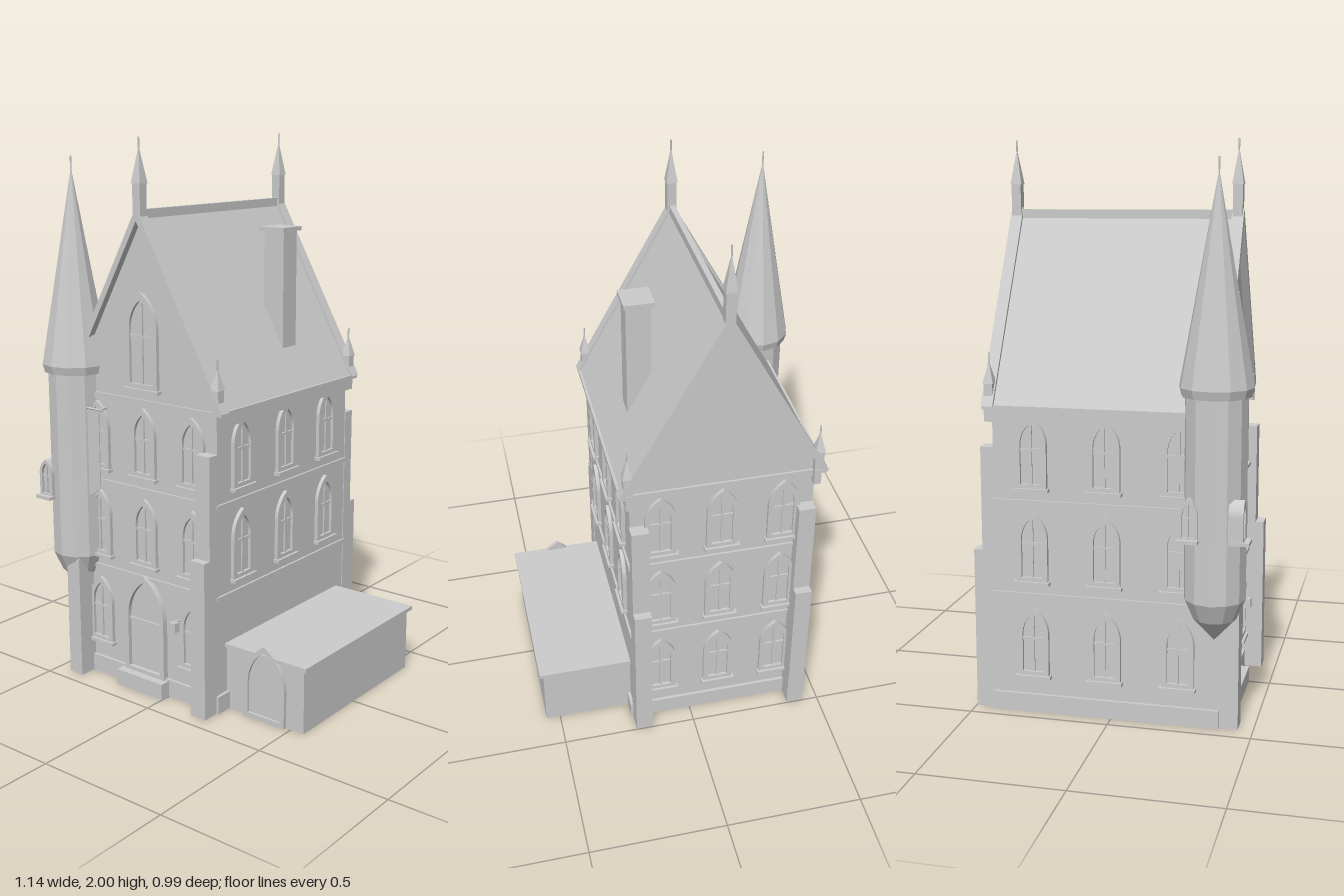
import * as THREE from 'three';

const grey = new THREE.MeshStandardMaterial({ color: 0xcccccc, flatShading: true });
const greyOpen = new THREE.MeshStandardMaterial({ color: 0xcccccc, flatShading: true, side: THREE.DoubleSide });
const CX = -0.11, CZ = -0.025;      // centre of the main block
const HW = 0.33, HD = 0.395;        // half width and half depth
const SLOPE = 1.795;                // roof pitch

function add(parent, name, geometry, x = 0, y = 0, z = 0) {
  const mesh = new THREE.Mesh(geometry, grey);
  mesh.name = name;
  mesh.position.set(x, y, z);
  parent.add(mesh);
  return mesh;
}

// Box given by its limits
function box(parent, name, x0, x1, y0, y1, z0, z1) {
  return add(parent, name, new THREE.BoxGeometry(x1 - x0, y1 - y0, z1 - z0),
    (x0 + x1) / 2, (y0 + y1) / 2, (z0 + z1) / 2);
}

// Box standing on the ground without its underside
function openBox(parent, name, x0, x1, top, z0, z1) {
  const mesh = box(parent, name, x0, x1, 0, top, z0, z1);
  const index = Array.from(mesh.geometry.index.array);
  index.splice(18, 6);
  mesh.geometry.setIndex(index);
  mesh.geometry.clearGroups();
  mesh.material = greyOpen;
}

function extrude(shape, depth) {
  return new THREE.ExtrudeGeometry(shape, { depth, bevelEnabled: false, curveSegments: 6 });
}

function polygon(points) {
  return new THREE.Shape(points.map(([x, y]) => new THREE.Vector2(x, y)));
}

// Pointed arch outline, moved inwards by inset
function arch(w, h, inset, Type = THREE.Shape) {
  const c = w / 2, r = w - inset, spring = h - w * 0.866, a = Math.acos(c / r);
  const s = new Type();
  s.moveTo(-c + inset, inset);
  s.lineTo(c - inset, inset);
  s.lineTo(c - inset, spring);
  s.absarc(-c, spring, r, 0, a, false);
  s.absarc(c, spring, r, Math.PI - a, Math.PI, false);
  s.closePath();
  return s;
}

// Arched frame with a set-back panel; local +z faces outwards
function archedFrame(name, w, h, t, depth, panelDepth) {
  const g = new THREE.Group();
  g.name = name;
  const outline = arch(w, h, 0);
  outline.holes.push(arch(w, h, t, THREE.Path));
  add(g, 'archFrame', extrude(outline, depth));
  add(g, 'archPanel', extrude(arch(w, h, t * 0.9), panelDepth));
  return g;
}

function archedWindow(w = 0.114, h = 0.256, t = 0.02, depth = 0.014, panelDepth = 0.003, sillOut = 0.01) {
  const g = archedFrame('window', w, h, t, depth, panelDepth);
  const bar = panelDepth + 0.006, k = w * 0.04;
  box(g, 'mullion', -k, k, t, h - t * 1.3, 0, bar);
  box(g, 'crossbar', -w / 2 + t, w / 2 - t, h * 0.55 - k, h * 0.55 + k, 0, bar);
  box(g, 'sill', -w * 0.56, w * 0.56, -0.006, 0.006, 0, depth + sillOut);
  return g;
}

function place(parent, object, x, y, z, turn = 0) {
  object.position.set(x, y, z);
  object.rotation.y = turn;
  parent.add(object);
}

// Roof-shaped band following both slopes, cut level at the eaves
function chevron(top, half, thick) {
  const e = top - half * SLOPE, inner = half - thick / SLOPE;
  return polygon([[0, top], [-half, e], [-inner, e], [0, top - thick], [inner, e], [half, e]]);
}

// Square pinnacle with pyramid and spike
function pinnacle(parent, x, y, z, w, shaft, tip) {
  const g = new THREE.Group();
  g.name = 'pinnacle';
  box(g, 'pinnacleShaft', -w / 2, w / 2, 0, shaft, -w / 2, w / 2);
  const cap = new THREE.ConeGeometry(w * 0.84, tip, 4).rotateY(Math.PI / 4);
  add(g, 'pinnacleCap', cap, 0, shaft + tip / 2, 0);
  add(g, 'pinnacleSpike', new THREE.CylinderGeometry(0.003, 0.003, 0.04, 6), 0, shaft + tip + 0.01, 0);
  place(parent, g, x, y, z);
}

export function createModel() {
  const model = new THREE.Group();
  model.name = 'gothicHouse';
  const front = CZ + HD, back = CZ - HD, left = CX + HW, right = CX - HW;

  // Main block with gables
  const apex = 1.71, wallTop = apex - HW * SLOPE;
  const block = polygon([[-HW, 0], [HW, 0], [HW, wallTop], [0, apex], [-HW, wallTop]]);
  add(model, 'mainBlock', extrude(block, HD * 2), CX, 0, back);

  // Plinth and string courses
  openBox(model, 'plinth', right - 0.012, left + 0.012, 0.065, back - 0.012, front + 0.012);
  for (const [name, y0, y1] of [['stringCourse', 0.422, 0.436], ['stringCourse', 0.755, 0.77], ['cornice', 1.07, 1.095]]) {
    box(model, name, right - 0.008, left + 0.008, y0, y1, back - 0.008, front + 0.008);
  }

  // Stepped buttresses on front and back corners
  for (const [x0, x1] of [[right, right + 0.062], [left - 0.06, left + 0.003]]) {
    for (const s of [1, -1]) {
      const tower = s > 0 && x0 < CX;
      for (const [top, out] of [[tower ? 0.46 : 0.58, 0.077], [tower ? 0.5 : 0.95, 0.046]]) {
        const z = s > 0 ? front : back;
        openBox(model, 'buttress', x0, x1, top, Math.min(z, z + s * out), Math.max(z, z + s * out));
      }
    }
  }

  // Windows on all four walls
  const rows = [0.131, 0.475, 0.808];
  rows.forEach((y, row) => {
    for (const i of [-1, 0, 1]) {
      const x = CX + i * 0.222, z = -0.022 + i * 0.259;
      if (row > 0 || i !== 0) place(model, archedWindow(), x, y, front);
      place(model, archedWindow(), x, y, back, Math.PI);
      place(model, archedWindow(), right, y, z, -Math.PI / 2);
      if (row > 0) place(model, archedWindow(), left, y, z, Math.PI / 2);
    }
  });
  place(model, archedWindow(0.148, 0.345, 0.022), CX, 1.13, front);

  // Front door, step and lamp
  const door = archedFrame('frontDoor', 0.19, 0.385, 0.02, 0.022, 0.006);
  box(door, 'doorLintel', -0.075, 0.075, 0.2, 0.212, 0, 0.014);
  place(model, door, CX, 0.055, front);
  openBox(model, 'doorStep', -0.22, 0, 0.06, front, 0.422);
  box(model, 'lampBracket', 0.047, 0.053, 0.305, 0.312, front, 0.405);
  box(model, 'lamp', 0.037, 0.063, 0.275, 0.31, 0.392, 0.418);

  // Hanging banner beside the tower
  const banner = polygon([[-0.06, 0], [-0.06, -0.29], [0, -0.335], [0.06, -0.29], [0.06, 0]]);
  add(model, 'banner', extrude(banner, 0.004), -0.355, 1.035, 0.405);
  const rod = new THREE.CylinderGeometry(0.004, 0.004, 0.15, 6).rotateZ(Math.PI / 2);
  add(model, 'bannerRod', rod, -0.352, 1.038, 0.407);
  box(model, 'bannerBracket', -0.294, -0.288, 1.034, 1.042, front, 0.407);

  // Roof, ridge, eaves and gable copings
  add(model, 'roof', extrude(chevron(1.745, 0.362, 0.04), HD * 2), CX, 0, back);
  box(model, 'ridge', CX - 0.01, CX + 0.01, 1.72, 1.758, back, front);
  for (const s of [1, -1]) {
    const edge = (name, a, b, y0, y1) =>
      box(model, name, CX + Math.min(s * a, s * b), CX + Math.max(s * a, s * b), y0, y1, back - 0.024, front + 0.024);
    edge('sideCornice', 0.32, 0.346, 1.042, 1.093);
    edge('gutter', 0.32, 0.367, 1.088, 1.103);
  }
  for (const z of [front - 0.016, back - 0.026]) {
    add(model, 'gableCoping', extrude(chevron(1.765, 0.371, 0.045), 0.042), CX, 0, z);
    const pz = z + 0.021;
    pinnacle(model, CX, 1.735, pz, 0.034, 0.11, 0.125);
    for (const s of [1, -1]) {
      if (z < 0 || s > 0) pinnacle(model, CX + s * 0.336, 1.1, pz, 0.032, 0.075, 0.075);
    }
  }

  // Chimney
  box(model, 'chimney', 0.082, 0.168, 1.2, 1.665, -0.157, -0.077);
  box(model, 'chimneyCap', 0.07, 0.177, 1.665, 1.68, -0.173, -0.063);

  // Corner tower with tapered foot and tall spire
  const tx = -0.445, tz = 0.363;
  const profile = [[0, 0.32], [0.075, 0.4], [0.106, 0.47], [0.106, 1.165], [0.118, 1.16], [0.126, 1.19], [0, 1.89]];
  const shell = new THREE.LatheGeometry(profile.map(([r, y]) => new THREE.Vector2(r, y)), 12);
  add(model, 'cornerTower', shell, tx, 0, tz);
  add(model, 'towerSpike', new THREE.CylinderGeometry(0.003, 0.003, 0.06, 6), tx, 1.9, tz);
  const towerWindow = () => archedWindow(0.064, 0.142, 0.012, 0.05, 0.04, 0.02);
  place(model, towerWindow(), -0.513, 0.688, 0.422);
  place(model, towerWindow(), -0.497, 0.688, 0.288, -Math.PI / 2);

  // Side annex with flat roof and arched door
  openBox(model, 'annex', left, 0.553, 0.236, -0.367, 0.317);
  box(model, 'annexRoof', left, 0.568, 0.236, 0.25, -0.38, 0.33);
  place(model, archedFrame('annexDoor', 0.175, 0.282, 0.018, 0.014, 0.005), 0.392, 0, 0.317);

  return model;
}
